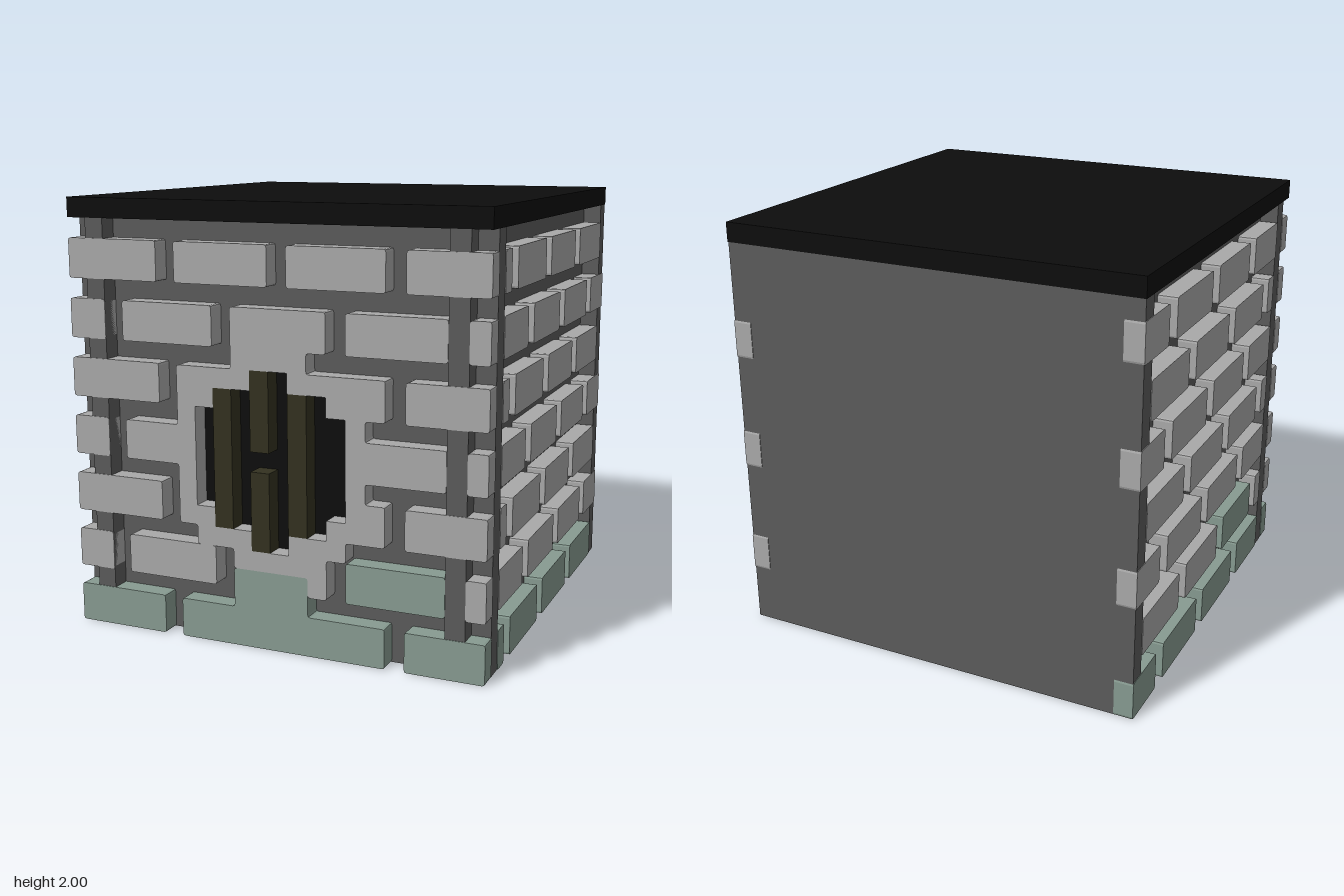
import * as THREE from 'three';

const U = 1 / 11; // grid unit: the block is 22 units wide

const material = (name, color) => {
  const m = new THREE.MeshStandardMaterial({ color });
  m.name = name;
  return m;
};

// Closed outline in grid units with slightly rounded corners
function trace(path, points, r = 0.13) {
  const pts = points.map(([x, y]) => new THREE.Vector2(x, y));
  const n = pts.length;
  pts.forEach((p, i) => {
    const toward = (q) => p.clone().add(q.clone().sub(p).setLength(r)).multiplyScalar(U);
    const a = toward(pts[(i + n - 1) % n]);
    const b = toward(pts[(i + 1) % n]);
    if (i === 0) path.moveTo(a.x, a.y);
    else path.lineTo(a.x, a.y);
    path.quadraticCurveTo(p.x * U, p.y * U, b.x, b.y);
  });
  path.closePath();
  return path;
}

// Flat stone standing one unit out of the wall
function slab(name, mat, points, hole) {
  const shape = trace(new THREE.Shape(), points);
  if (hole) shape.holes.push(trace(new THREE.Path(), hole, 0.03));
  const geo = new THREE.ExtrudeGeometry(shape, { depth: U, bevelEnabled: false, curveSegments: 2 });
  geo.translate(0, 0, 10 * U);
  const mesh = new THREE.Mesh(geo, mat);
  mesh.name = name;
  return mesh;
}

const brick = (mat, row, [x0, x1]) => {
  const y = row * 3;
  return slab('brick', mat, [[x0, y], [x1, y], [x1, y + 2], [x0, y + 2]]);
};

// Box from opposite corners in grid units
function box(name, mat, x0, x1, y0, y1, z0, z1) {
  const geo = new THREE.BoxGeometry((x1 - x0) * U, (y1 - y0) * U, (z1 - z0) * U);
  geo.translate((x0 + x1) * U / 2, (y0 + y1) * U / 2, (z0 + z1) * U / 2);
  const mesh = new THREE.Mesh(geo, mat);
  mesh.name = name;
  return mesh;
}

export function createModel() {
  const stone = material('stone', 0xa9a9a9);
  const mortar = material('mortar', 0x5b5b5b);
  const moss = material('mossy stone', 0x879b91);
  const black = material('black', 0x0d0d0d);
  const bars = material('dark olive bars', 0x333120);

  const model = new THREE.Group();
  model.name = 'brickBlock';

  // Core, back wall and roof slab
  model.add(box('core', mortar, -10, 10, 0, 21, -10.5, 10));
  model.add(box('backWall', mortar, -10.97, 10.97, 0.02, 21, -10.97, -10));
  model.add(box('roof', black, -11, 11, 21, 22, -11, 11));

  // Corner posts on the front and on both sides
  for (const s of [-1, 1]) {
    const a = Math.min(s * 9, s * 10), c = Math.min(s * 9.5, s * 10.97), d = Math.max(s * 9.5, s * 10.97);
    model.add(box('frontPost', mortar, a, a + 1, 0.02, 21, 9.5, 10.97));
    model.add(box('sidePost', mortar, c, d, 0.02, 21, 9, 10));
  }

  // Front bricks, leaving room for the window surround
  const front = new THREE.Group();
  front.name = 'frontBricks';
  for (let row = 0; row < 7; row++) {
    const spans = row % 2 ? [[-11, -9], [10, 11]] : [[-11, -6], [7, 11]];
    if (row === 1 || row === 5) spans.push([-8, -3], [4, 9]);
    if (row === 6) spans.push([-5, 0], [1, 6]);
    for (const s of spans) {
      const mossy = row === 0 || (row === 1 && s[0] === 4);
      front.add(brick(mossy ? moss : stone, row, s));
    }
  }
  model.add(front);

  // Side bricks: the rows of the two sides are staggered against each other
  const long = [[-9, -5], [-4, 1], [2, 7], [8, 11]];
  const short = [[-9, -8], [-7, -2], [-1, 4], [5, 10]];
  for (const side of [1, -1]) {
    const wall = new THREE.Group();
    wall.name = side > 0 ? 'leftBricks' : 'rightBricks';
    for (let row = 0; row < 7; row++) {
      const reachesBack = (row % 2 === 1) === (side > 0);
      for (const [a, b] of reachesBack ? long : short) {
        const mossy = row === 0 || (side < 0 && row === 1 && a === -7);
        wall.add(brick(mossy ? moss : stone, row, side > 0 ? [a, b] : [-b, -a]));
      }
    }
    wall.rotation.y = side * Math.PI / 2;
    model.add(wall);
  }

  // Window surround with a stepped round opening
  const outline = [
    [-2, 4], [2, 4], [2, 3], [3, 3], [3, 5], [4, 5], [4, 6], [6, 6], [6, 8], [5, 8], [5, 9],
    [9, 9], [9, 11], [5, 11], [5, 12], [6, 12], [6, 14], [2, 14], [2, 15], [3, 15], [3, 17],
    [-2, 17], [-2, 14], [-5, 14], [-5, 11], [-8, 11], [-8, 9], [-5, 9], [-5, 6], [-4, 6],
    [-4, 5], [-2, 5],
  ];
  const quarter = [[1, 9], [1, 8], [3, 8], [3, 7], [4, 7]].map(([x, y]) => [x, y - 4.5]);
  const half = [...quarter.map(([x, y]) => [x, 9.5 - y]).reverse(), ...quarter.map(([x, y]) => [x, 9.5 + y])];
  half.sort((p, q) => p[1] - q[1]);
  const opening = [
    [-1, 5], [1, 5], [1, 6], [3, 6], [3, 7], [4, 7], [4, 12], [3, 12], [3, 13], [1, 13],
    [1, 14], [-1, 14], [-1, 13], [-3, 13], [-3, 12], [-4, 12], [-4, 7], [-3, 7], [-3, 6], [-1, 6],
  ];
  model.add(slab('windowSurround', stone, outline, opening));
  model.add(slab('mossyBase', moss, [[-5, 0], [6, 0], [6, 2], [2, 2], [2, 4], [-2, 4], [-2, 2], [-5, 2]]));

  // Dark window pane
  const pane = new THREE.Mesh(new THREE.ShapeGeometry(trace(new THREE.Shape(), opening, 0.03)), black);
  pane.name = 'windowPane';
  pane.position.z = 10 * U + 0.004;
  model.add(pane);

  // Window bars, the middle one broken
  for (const [x, y0, y1] of [[-3, 6, 13], [-1, 5, 9], [-1, 10, 14], [1, 6, 13]]) {
    model.add(box('windowBar', bars, x, x + 1, y0, y1, 10, 11));
  }

  return model;
}
